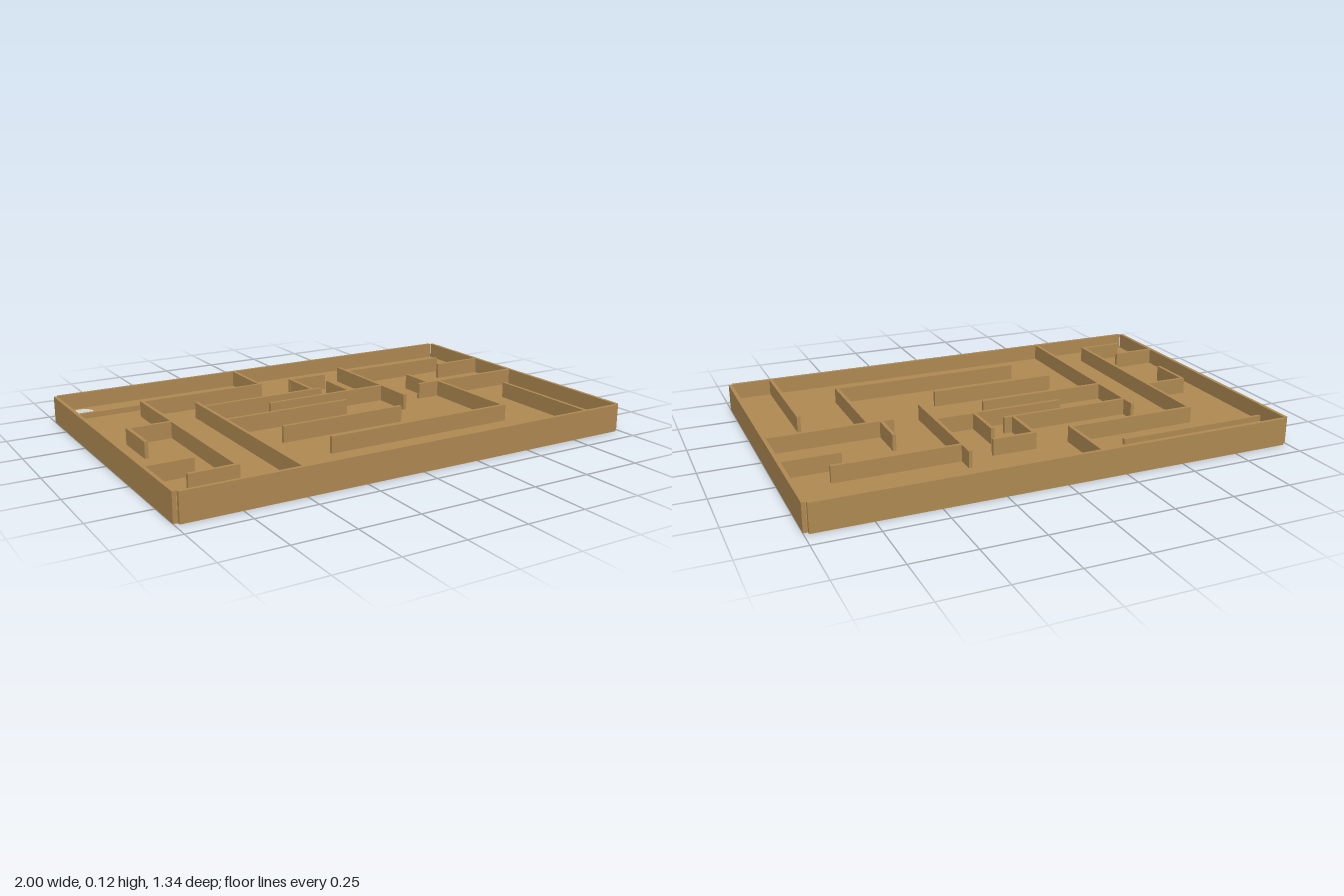
import * as THREE from 'three';

const FLOOR = 0.047, TOP = 0.115, T = 0.015;

export function createModel() {
  const group = new THREE.Group();
  group.name = 'labyrinthTray';
  const wood = new THREE.MeshStandardMaterial({ color: 0xb08a52 });
  wood.name = 'wood';
  const pale = new THREE.MeshStandardMaterial({ color: 0xd8d8d8 });
  pale.name = 'pale grey';

  // box given by its extents on each axis
  const box = (name, x0, x1, y0, y1, z0, z1) => {
    const mesh = new THREE.Mesh(new THREE.BoxGeometry(x1 - x0, y1 - y0, z1 - z0), wood);
    mesh.position.set((x0 + x1) / 2, (y0 + y1) / 2, (z0 + z1) / 2);
    mesh.name = name;
    group.add(mesh);
  };

  // base board and the four rim boards, leaving small notches at the corners
  box('floor', -0.985, 0.985, 0, FLOOR, -0.656, 0.656);
  box('leftRim', 0.985, 1, 0, TOP, -0.656, 0.656);
  box('rightRim', -1, -0.985, 0, TOP, -0.656, 0.656);
  box('frontRim', -0.982, 0.982, 0, TOP, 0.655, 0.67);
  box('backRim', -0.982, 0.982, 0, TOP, -0.67, -0.655);

  // maze walls running along x: z, start x, end x, top height
  const across = [
    [-0.5, -0.987, -0.33, 0.07],
    [-0.395, -0.705, -0.14], [-0.395, 0.005, 0.19], [-0.395, 0.313, 0.83],
    [-0.286, 0.757, 0.987], [-0.198, -0.51, 0.055], [-0.1, -0.248, 0.318],
    [-0.067, -0.89, -0.7], [-0.035, 0.468, 0.987], [0.019, -0.51, 0.055],
    [0.214, -0.355, 0.2], [0.377, -0.987, -0.8], [0.422, -0.26, 0.582],
    [0.524, -0.89, -0.695],
  ];
  for (const [z, x0, x1, top = TOP] of across) {
    box('mazeWallAcross', x0, x1, FLOOR - 0.005, top, z - T / 2, z + T / 2);
  }

  // maze walls running along z: x, start z, end z
  const along = [
    [-0.883, -0.074, 0.125], [-0.7, -0.402, 0.531], [-0.508, -0.265, 0.656],
    [-0.147, -0.656, -0.388], [0.013, -0.402, -0.195], [0.144, -0.29, -0.1],
    [0.313, -0.473, 0.083], [0.521, -0.2, -0.035], [0.575, -0.035, 0.429],
    [0.813, 0.143, 0.656],
  ];
  for (const [x, z0, z1] of along) {
    box('mazeWallAlong', x - T / 2, x + T / 2, FLOOR - 0.005, TOP, z0, z1);
  }

  // round goal marker in the back corner
  const goal = new THREE.Mesh(new THREE.CylinderGeometry(0.046, 0.046, 0.006, 20), pale);
  goal.position.set(-0.9, FLOOR + 0.001, -0.58);
  goal.name = 'goalMarker';
  group.add(goal);

  return group;
}
